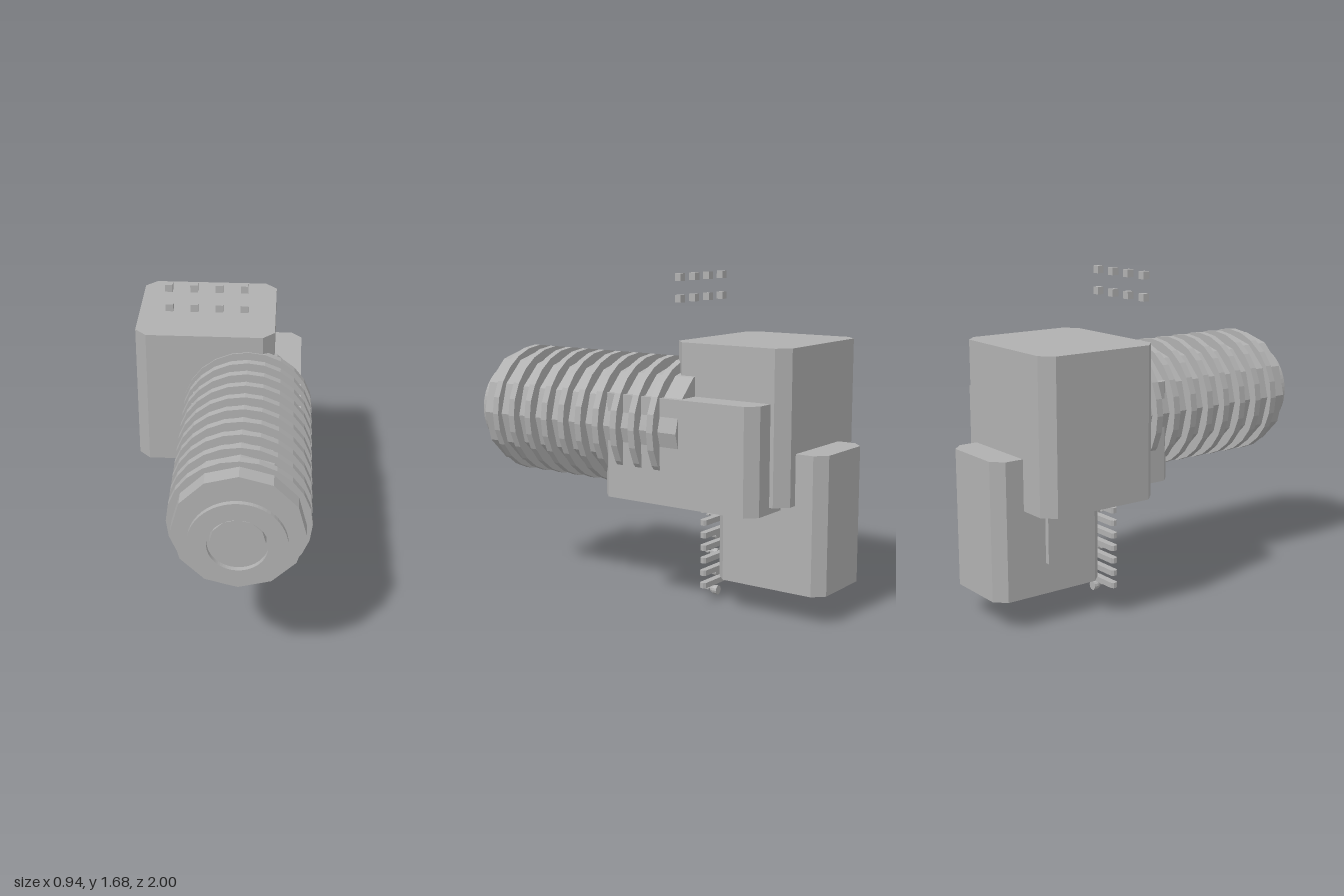
import * as THREE from 'three';

export function createModel() {
  const model = new THREE.Group();
  const grey = new THREE.MeshStandardMaterial({ color: 0xb0b0b0 });
  grey.name = 'grey';
  grey.flatShading = true;

  function add(name, geometry, x = 0, y = 0, z = 0, parent = model) {
    const mesh = new THREE.Mesh(geometry, grey);
    mesh.name = name;
    mesh.position.set(x, y, z);
    parent.add(mesh);
    return mesh;
  }

  function group(name) {
    const g = new THREE.Group();
    g.name = name;
    model.add(g);
    return g;
  }

  // Block whose four vertical edges are chamfered by c
  function block(name, x0, x1, y0, y1, z0, z1, c, parent) {
    const w = (x1 - x0) / 2, d = (z1 - z0) / 2;
    const outline = [[w, d - c], [w - c, d], [c - w, d], [-w, d - c],
      [-w, c - d], [c - w, -d], [w - c, -d], [w, c - d]];
    const shape = new THREE.Shape(outline.map(([x, y]) => new THREE.Vector2(x, y)));
    const geo = new THREE.ExtrudeGeometry(shape, { depth: y1 - y0, bevelEnabled: false });
    geo.rotateX(-Math.PI / 2);
    return add(name, geo, (x0 + x1) / 2, y0, (z0 + z1) / 2, parent);
  }

  // Cylinder lying along z, with a corner pointing up
  const cx = 0.125, cy = 0.925;
  function drum(name, r, z0, z1, sides, parent) {
    const geo = new THREE.CylinderGeometry(r, r, z1 - z0, sides);
    geo.rotateX(Math.PI / 2);
    return add(name, geo, cx, cy, (z0 + z1) / 2, parent);
  }

  // Housing
  block('mainBody', -0.47, 0.26, 0.592, 1.352, -0.85, -0.2, 0.06);
  block('sideBody', -0.155, 0.405, 0.56, 1.09, -0.77, 0.145, 0.055);
  block('gripBlock', -0.27, 0.155, 0.155, 0.845, -1, -0.385, 0.055);
  add('gripTab', new THREE.BoxGeometry(0.05, 0.34, 0.085), -0.27, 0.48, -0.688);

  // Barrel with cooling rings
  const barrel = group('barrel');
  drum('barrelTube', 0.3, -0.34, 0.73, 12, barrel);
  drum('barrelCap', 0.315, 0.727, 0.909, 12, barrel);
  for (let i = 0; i < 10; i++) {
    const z = 0.807 - i * 0.1133;
    drum('coolingRing', 0.342, z - 0.019, z + 0.019, 24, barrel);
  }
  drum('neck', 0.13, 0.9, 0.98, 12, barrel);

  // Open front flange
  const flange = new THREE.Shape();
  flange.absarc(0, 0, 0.232, 0, Math.PI * 2);
  const hole = new THREE.Path();
  hole.absarc(0, 0, 0.142, 0, Math.PI * 2, true);
  flange.holes.push(hole);
  add('frontFlange', new THREE.ExtrudeGeometry(flange, { depth: 0.024, bevelEnabled: false, curveSegments: 32 }),
    cx, cy, 0.976, barrel);

  // Vent slats with a narrow strip on each
  const vents = group('ventSlats');
  for (let i = 0; i < 8; i++) {
    const y = 0.097 + i * 0.066;
    block('slat', -0.257, 0.143, y - 0.014, y + 0.014, -0.324, -0.288, 0.01, vents);
    add('slatStrip', new THREE.BoxGeometry(0.25, 0.009, 0.008), -0.057, y + 0.006, -0.287, vents);
  }

  // Column of screws, each with a slot bar in front
  const screws = group('screws');
  const profile = [[0, -0.02], [0.024, -0.02], [0.024, 0.004], [0.013, 0.025], [0, 0.025]]
    .map(([r, h]) => new THREE.Vector2(r, h));
  for (let i = 0; i < 6; i++) {
    const y = 0.027 + i * 0.1;
    const geo = new THREE.LatheGeometry(profile, 12);
    geo.rotateX(Math.PI / 2);
    add('screw', geo, -0.033, y, -0.27, screws);
    add('screwSlot', new THREE.BoxGeometry(0.03, 0.006, 0.018), -0.033, y, -0.228, screws);
  }

  // Floating marker cubes above
  const markers = group('markerCubes');
  for (const y of [1.552, 1.66]) {
    for (let i = 0; i < 4; i++) {
      add('markerCube', new THREE.BoxGeometry(0.038, 0.038, 0.036), -0.273 + i * 0.126, y, -0.138, markers);
    }
  }

  return model;
}
